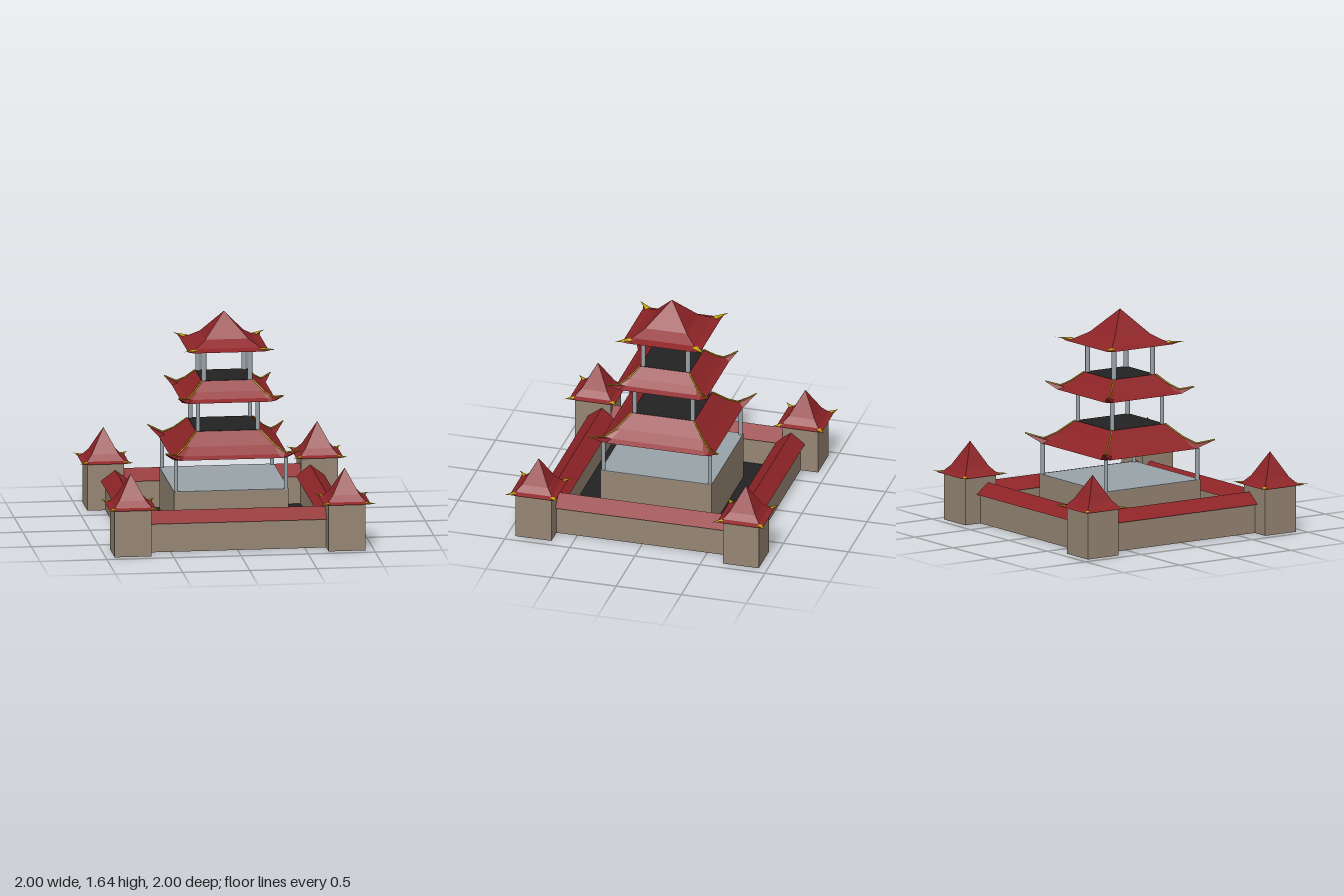
import * as THREE from 'three';

const paint = (name, color, side = THREE.FrontSide) => {
  const m = new THREE.MeshStandardMaterial({ color, side });
  m.name = name;
  return m;
};

export function createModel() {
  const stone = paint('stone', 0x968674);
  const red = paint('red tile', 0x8e2427, THREE.DoubleSide);
  const gold = paint('gold', 0xc9a70c);
  const grey = paint('pale grey', 0x9aa3a9);
  const black = paint('dark floor', 0x222222);
  const model = new THREE.Group();
  model.name = 'pagoda';

  const add = (parent, name, geometry, material, x = 0, y = 0, z = 0) => {
    const mesh = new THREE.Mesh(geometry, material);
    mesh.name = name;
    mesh.position.set(x, y, z);
    parent.add(mesh);
    return mesh;
  };
  const box = (parent, name, w, y0, y1, d, material, x = 0, z = 0) =>
    add(parent, name, new THREE.BoxGeometry(w, y1 - y0, d), material, x, (y0 + y1) / 2, z);
  const corners = (fn) => [[1, 1], [1, -1], [-1, -1], [-1, 1]].forEach(([sx, sz]) => fn(sx, sz));

  // Square roof lofted from rings [half width, y, corner reach, corner y], top to eave
  function roofGeometry(rings, spread = 0.88) {
    const loops = rings.map(([h, y, c = h, cy = y]) => {
      const loop = [];
      for (let k = 0; k < 4; k++) {
        for (const [px, py, pz] of [[-c, cy, c], [-h * spread, y, h], [h * spread, y, h]]) {
          let x = px, z = pz;
          for (let r = 0; r < k; r++) [x, z] = [z, -x];
          loop.push([x, py, z]);
        }
      }
      return loop;
    });
    const pos = [];
    const tri = (...pts) => pts.forEach((p) => pos.push(...p));
    for (let l = 0; l + 1 < loops.length; l++) {
      const U = loops[l], L = loops[l + 1];
      for (let i = 0; i < 12; i++) {
        const j = (i + 1) % 12;
        tri(L[i], L[j], U[j]);
        if (rings[l][0] > 0) tri(L[i], U[j], U[i]);
      }
    }
    // Flat soffit with a raised triangle under each corner
    const E = loops[loops.length - 1];
    const mid = [0, rings[rings.length - 1][1], 0];
    for (let k = 0; k < 12; k += 3) {
      const prev = E[(k + 11) % 12];
      tri(mid, E[k + 2], E[k + 1]);
      tri(mid, E[k + 1], prev);
      tri(E[k + 1], E[k], prev);
    }
    const g = new THREE.BufferGeometry();
    g.setAttribute('position', new THREE.Float32BufferAttribute(pos, 3));
    g.computeVertexNormals();
    return g;
  }

  // Flattened gold cone at each corner, pointing outward
  function horns(parent, r0, y0, r1, y1, radius) {
    corners((sx, sz) => {
      const a = new THREE.Vector3(sx * r0, y0, sz * r0);
      const b = new THREE.Vector3(sx * r1, y1, sz * r1);
      const g = new THREE.ConeGeometry(radius, a.distanceTo(b), 10);
      g.rotateX(Math.PI / 2).scale(1, 0.4, 1);
      const horn = new THREE.Mesh(g, gold);
      horn.name = 'cornerHorn';
      horn.position.copy(a).lerp(b, 0.5);
      horn.lookAt(b);
      parent.add(horn);
    });
  }

  // Gold ridge running down each hip through the corner points of the rings
  function ridges(parent, rings) {
    corners((sx, sz) => {
      const path = new THREE.CurvePath();
      const pts = rings.map(([h, y, c = h, cy = y]) => new THREE.Vector3(sx * c, cy + 0.002, sz * c));
      for (let i = 0; i + 1 < pts.length; i++) path.add(new THREE.LineCurve3(pts[i], pts[i + 1]));
      add(parent, 'hipRidge', new THREE.TubeGeometry(path, 18, 0.006, 6), gold);
    });
  }

  function columns(parent, offset, y0, y1, radius) {
    corners((sx, sz) => add(parent, 'column',
      new THREE.CylinderGeometry(radius, radius, y1 - y0, 16), grey, sx * offset, (y0 + y1) / 2, sz * offset));
  }

  // Courtyard floor and central platform
  box(model, 'courtyardFloor', 1.32, 0.002, 0.01, 1.32, black);
  box(model, 'platform', 0.855, 0.002, 0.365, 0.855, stone);
  box(model, 'platformTop', 0.855, 0.365, 0.37, 0.855, grey);
  box(model, 'platformBase', 0.855, 0, 0.002, 0.855, grey);

  // Four walls with pitched tile caps
  const gable = new THREE.Shape([[-0.107, 0.22], [0.107, 0.22], [0, 0.3]].map((p) => new THREE.Vector2(...p)));
  const capGeometry = new THREE.ExtrudeGeometry(gable, { depth: 1.34, bevelEnabled: false });
  capGeometry.translate(0, 0, -0.67).rotateY(Math.PI / 2);
  for (let k = 0; k < 4; k++) {
    const wall = new THREE.Group();
    wall.name = 'wall';
    wall.rotation.y = k * Math.PI / 2;
    box(wall, 'wallBody', 1.34, 0, 0.225, 0.145, stone, 0, 0.727);
    add(wall, 'wallCap', capGeometry, red, 0, 0, 0.727);
    model.add(wall);
  }

  // Corner towers
  const towerRoof = roofGeometry([[0, 0.6], [0.1, 0.415], [0.14, 0.37], [0.175, 0.355, 0.182, 0.36]]);
  corners((sx, sz) => {
    const tower = new THREE.Group();
    tower.name = 'cornerTower';
    box(tower, 'towerBody', 0.275, 0, 0.357, 0.275, stone);
    add(tower, 'towerRoof', towerRoof, red);
    horns(tower, 0.145, 0.362, 0.203, 0.366, 0.019);
    tower.position.set(sx * 0.797, 0, sz * 0.797);
    model.add(tower);
  });

  // Two lower storeys with upswept eaves
  const storeys = [
    { name: 'lowerStorey', offset: 0.41, base: 0.37, radius: 0.016,
      rings: [[0.24, 0.78], [0.335, 0.685], [0.4, 0.628, 0.405, 0.638], [0.435, 0.605, 0.505, 0.672]] },
    { name: 'middleStorey', offset: 0.223, base: 0.78, radius: 0.016,
      rings: [[0.19, 1.15], [0.26, 1.08], [0.31, 1.035, 0.315, 1.042], [0.35, 1.015, 0.395, 1.066]] },
  ];
  for (const { name, offset, base, radius, rings } of storeys) {
    const storey = new THREE.Group();
    storey.name = name;
    columns(storey, offset, base, rings[3][1], radius);
    add(storey, 'roof', roofGeometry(rings), red);
    ridges(storey, rings);
    const [half, top] = rings[0];
    box(storey, 'upperFloor', half * 2, top - 0.006, top + 0.001, half * 2, black);
    model.add(storey);
  }

  // Top storey with a pointed roof
  const crown = new THREE.Group();
  crown.name = 'topStorey';
  columns(crown, 0.172, 1.15, 1.385, 0.018);
  add(crown, 'roof', roofGeometry([[0, 1.636], [0.16, 1.455], [0.24, 1.403], [0.3, 1.385, 0.31, 1.397]]), red);
  horns(crown, 0.25, 1.395, 0.342, 1.406, 0.026);
  model.add(crown);

  return model;
}
